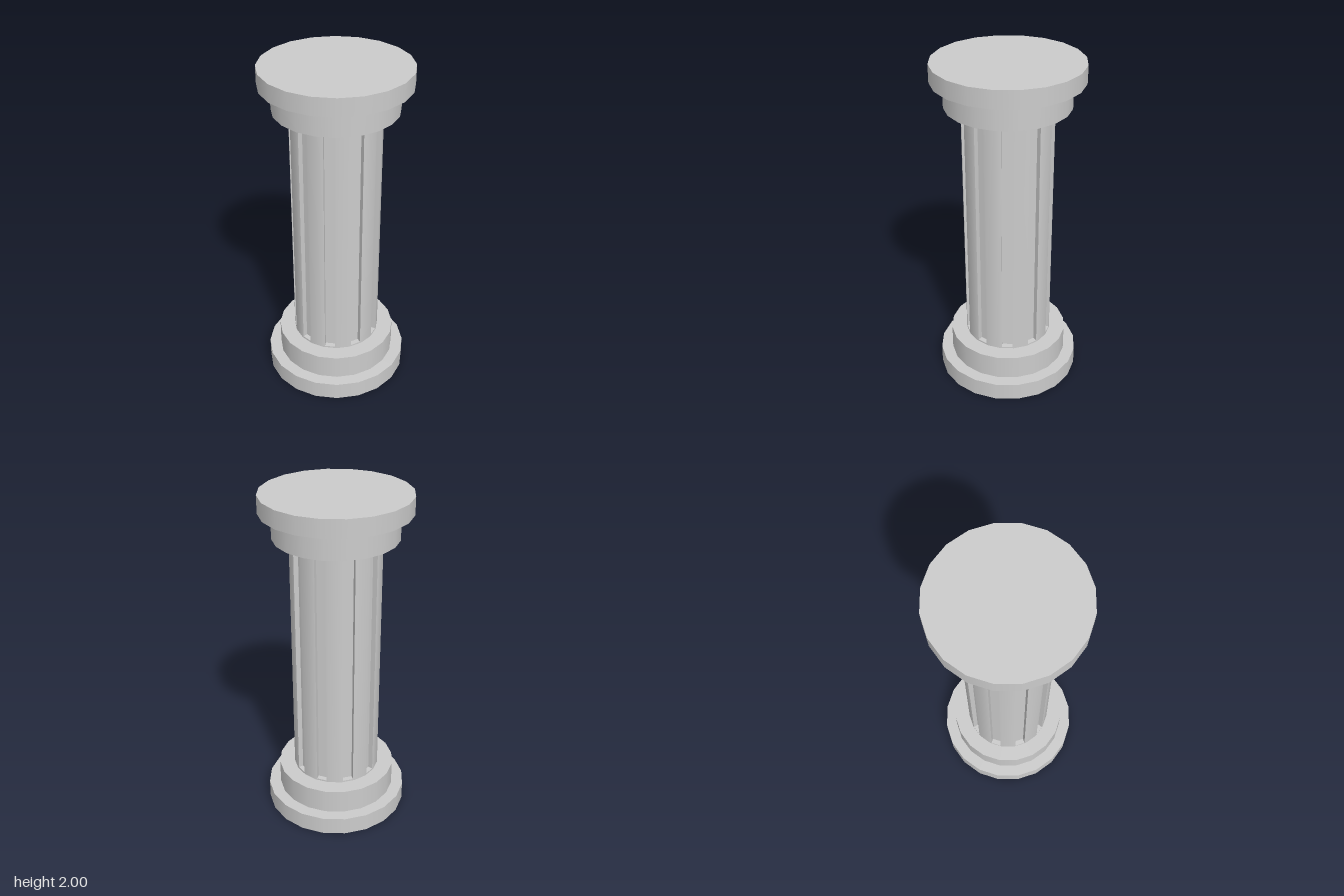
import * as THREE from 'three';
import { toCreasedNormals } from 'three/addons/utils/BufferGeometryUtils.js';

const SIDES = 20;
const SHAFT = { radius: 0.262, bottom: 0.26, top: 1.75 };
const FLUTE = { margin: 0.01, depth: 0.03 };

// Shaft: every second side carries a framed, recessed flute
function shaftGeometry() {
  const positions = [];
  const quad = (a, b, c, d) => {
    for (const p of [a, b, c, a, c, d]) positions.push(p.x, p.y, p.z);
  };
  const step = (2 * Math.PI) / SIDES;
  const halfWidth = SHAFT.radius * Math.sin(step / 2);
  const apothem = SHAFT.radius * Math.cos(step / 2);
  const up = new THREE.Vector3(0, 1, 0);

  for (let i = 0; i < SIDES; i++) {
    const angle = (i + 0.5) * step;
    // Rectangle on this side, shrunk by a margin and pushed inwards
    const rectangle = (margin, depth) => {
      const w = halfWidth - margin, z = apothem - depth;
      const y0 = SHAFT.bottom + margin, y1 = SHAFT.top - margin;
      return [[-w, y0], [w, y0], [w, y1], [-w, y1]].map(
        ([x, y]) => new THREE.Vector3(x, y, z).applyAxisAngle(up, angle));
    };
    const outer = rectangle(0, 0);
    if (i % 2 === 0) {
      quad(...outer);
      continue;
    }
    const rim = rectangle(FLUTE.margin, 0);
    const floor = rectangle(FLUTE.margin, FLUTE.depth);
    for (let a = 0; a < 4; a++) {
      const b = (a + 1) % 4;
      quad(outer[a], outer[b], rim[b], rim[a]);
      quad(rim[a], rim[b], floor[b], floor[a]);
    }
    quad(...floor);
  }

  const geometry = new THREE.BufferGeometry();
  geometry.setAttribute('position', new THREE.Float32BufferAttribute(positions, 3));
  return toCreasedNormals(geometry, Math.PI / 6);
}

export function createModel() {
  const group = new THREE.Group();
  group.name = 'column';
  const material = new THREE.MeshStandardMaterial({ color: 0xcccccc });

  const add = (name, geometry, y = 0) => {
    const mesh = new THREE.Mesh(geometry, material);
    mesh.name = name;
    mesh.position.y = y;
    group.add(mesh);
  };
  const addDisc = (name, radius, y0, y1) =>
    add(name, new THREE.CylinderGeometry(radius, radius, y1 - y0, SIDES), (y0 + y1) / 2);

  // Stepped base and capital
  addDisc('basePlinth', 0.427, 0, 0.11);
  addDisc('baseRing', 0.356, 0.11, SHAFT.bottom);
  add('flutedShaft', shaftGeometry());
  addDisc('capitalRing', 0.356, SHAFT.top, 1.897);
  addDisc('capitalSlab', 0.427, 1.897, 2);

  return group;
}
